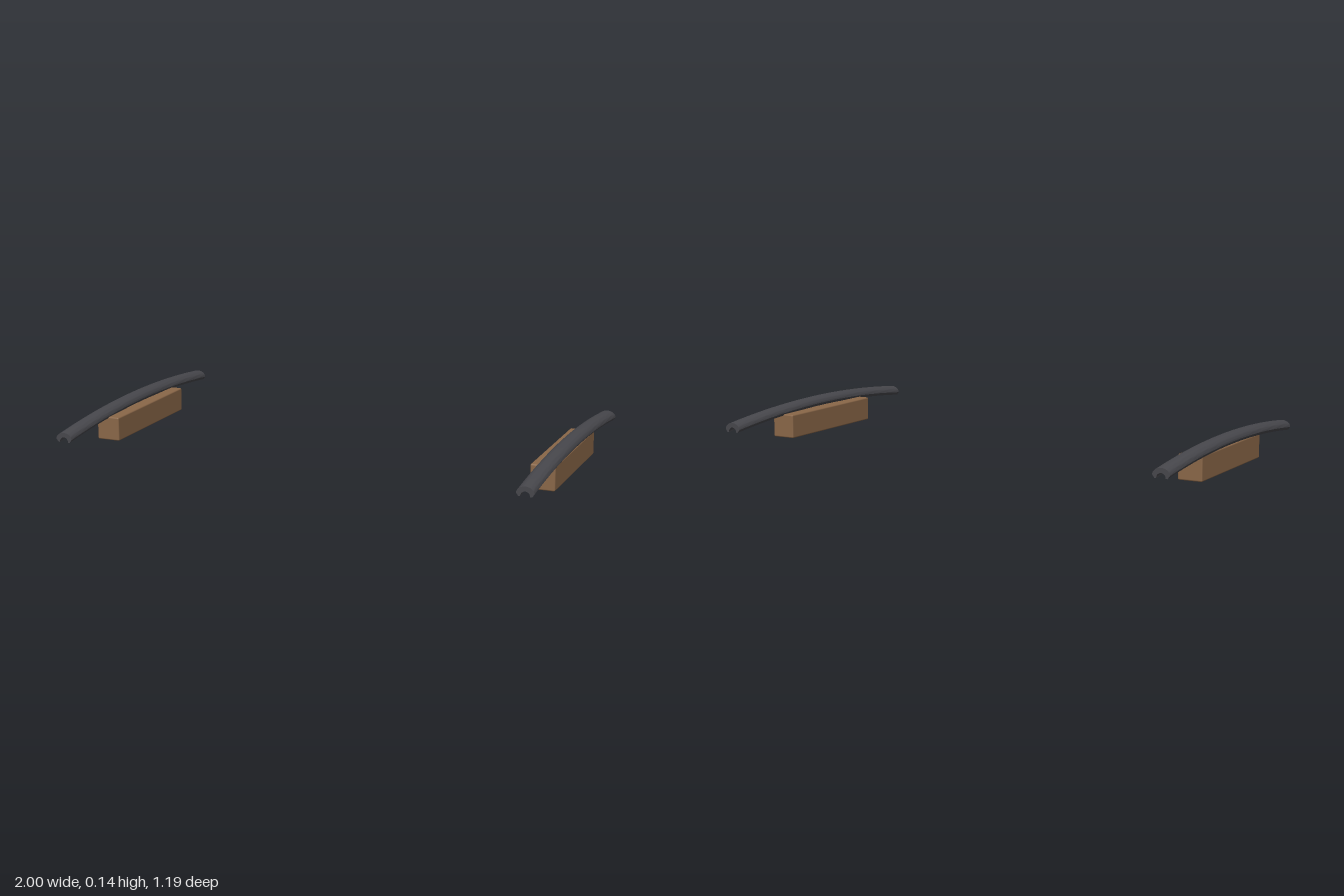
import * as THREE from 'three';
import { toCreasedNormals } from 'three/addons/utils/BufferGeometryUtils.js';
import { RoundedBoxGeometry } from 'three/addons/geometries/RoundedBoxGeometry.js';

const HALF_LENGTH = 0.595;
const DROP = 0.035;

// Domed grip section with tucked-in feet and a round groove underneath
function railSection() {
  const s = new THREE.Shape();
  s.moveTo(0.019, 0);
  s.lineTo(0.026, 0);
  s.lineTo(0.035, 0.012);
  s.absellipse(0, 0.012, 0.035, 0.027, 0, Math.PI, false);
  s.lineTo(-0.026, 0);
  s.lineTo(-0.019, 0);
  s.absellipse(0, 0, 0.019, 0.02, Math.PI, 0, true);
  return s;
}

// Extrude along z, then bend down towards both ends
function railGeometry() {
  const geo = new THREE.ExtrudeGeometry(railSection(), {
    depth: HALF_LENGTH * 2, steps: 32, bevelEnabled: false, curveSegments: 10,
  });
  geo.translate(0, 0, -HALF_LENGTH);
  const p = geo.attributes.position;
  for (let i = 0; i < p.count; i++) {
    const t = p.getZ(i) / HALF_LENGTH;
    p.setY(i, p.getY(i) + 0.102 - DROP * t * t);
  }
  return toCreasedNormals(geo, 0.6);
}

export function createModel() {
  const group = new THREE.Group();
  const wood = new THREE.MeshStandardMaterial({ color: 0x8a6748 });
  const dark = new THREE.MeshStandardMaterial({ color: 0x47474c });
  const railGeo = railGeometry();
  const blockGeo = new RoundedBoxGeometry(0.1, 0.1, 0.57, 2, 0.006);

  for (const [side, sx] of [['left', 1], ['right', -1]]) {
    // Curved rail
    const rail = new THREE.Mesh(railGeo, dark);
    rail.name = side + 'Rail';
    rail.position.x = sx * 0.965;

    // Wooden support, set slightly inboard
    const block = new THREE.Mesh(blockGeo, wood);
    block.name = side + 'Block';
    block.position.set(sx * 0.94, 0.05, 0);

    group.add(rail, block);
  }
  return group;
}
